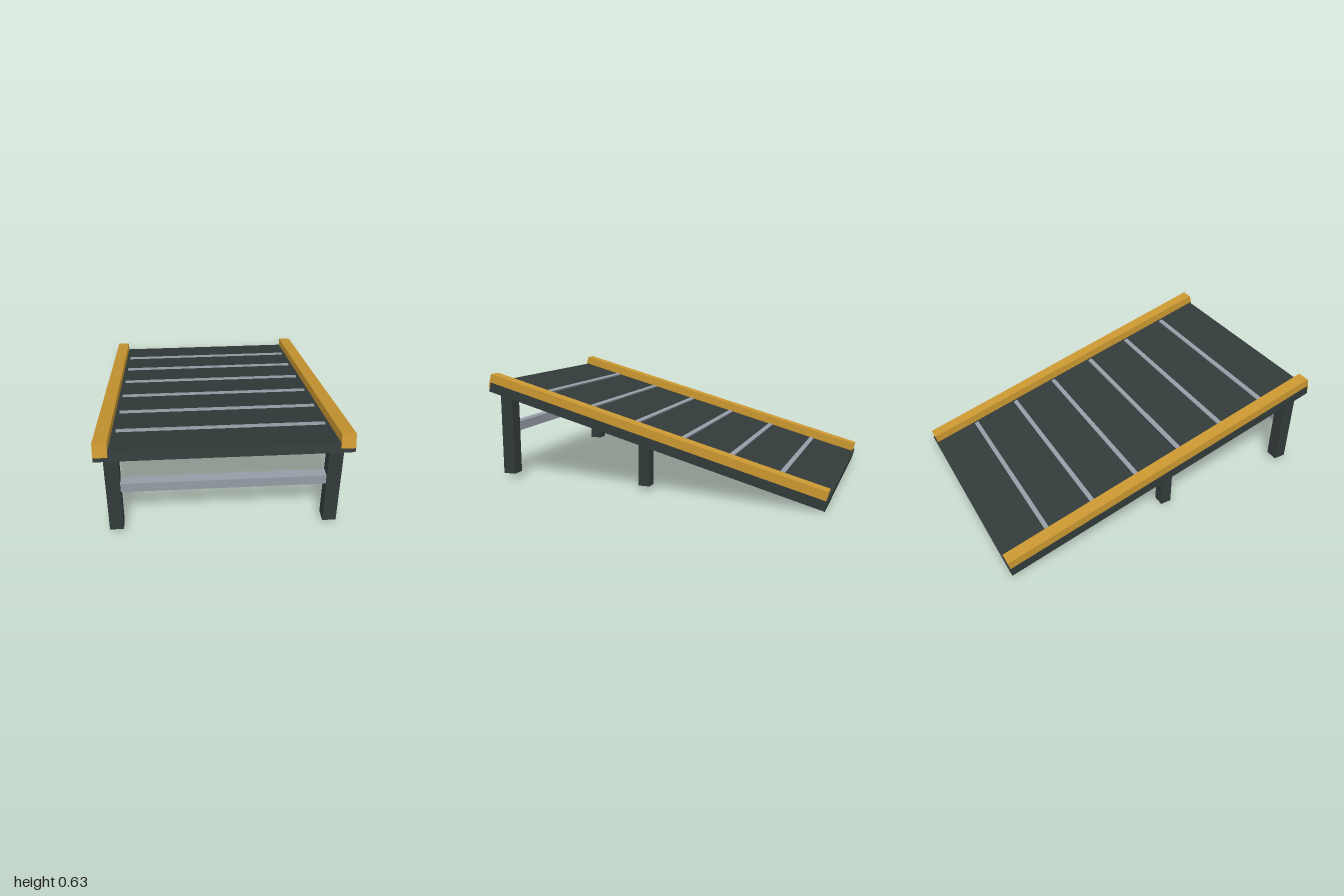
import * as THREE from 'three';

const material = (name, color) => {
  const m = new THREE.MeshStandardMaterial({ color });
  m.name = name;
  return m;
};

export function createModel() {
  const dark = material('dark steel', 0x323b3a);
  const gold = material('safety yellow', 0xca9731);
  const grey = material('grey metal', 0x959ca5);

  const model = new THREE.Group();
  model.name = 'ramp';

  const slope = THREE.MathUtils.degToRad(15);
  const length = 2.05;
  const deckY = 0.292;

  const box = (name, mat, size, position, tilt = 0) => {
    const mesh = new THREE.Mesh(new THREE.BoxGeometry(...size), mat);
    mesh.name = name;
    mesh.position.set(...position);
    mesh.rotation.x = -tilt;
    model.add(mesh);
  };

  // Sloping deck, high at the front
  box('deck', dark, [1.316, 0.055, length], [0, deckY, 0], slope);

  // Kerb rails and legs on both sides
  for (const [side, s] of [['left', 1], ['right', -1]]) {
    box(`${side}Rail`, gold, [0.074, 0.079, length], [s * 0.62, deckY + 0.039, 0], slope);
    box(`${side}FrontLeg`, dark, [0.075, 0.485, 0.075], [s * 0.577, 0.2725, 0.91]);
    box(`${side}MiddleLeg`, dark, [0.065, 0.25, 0.065], [s * 0.577, 0.155, 0.034]);
  }

  // Bar between the front legs
  box('crossBar', grey, [1.08, 0.055, 0.055], [0, 0.308, 0.91]);

  // Grip strips across the deck
  for (let i = 0; i < 6; i++) {
    const z = (i - 2.5) * 0.287;
    const y = deckY + 0.0285 + z * Math.tan(slope) + 0.003;
    box(`gripStrip${i + 1}`, grey, [1.12, 0.012, 0.026], [0, y, z], slope);
  }

  return model;
}
